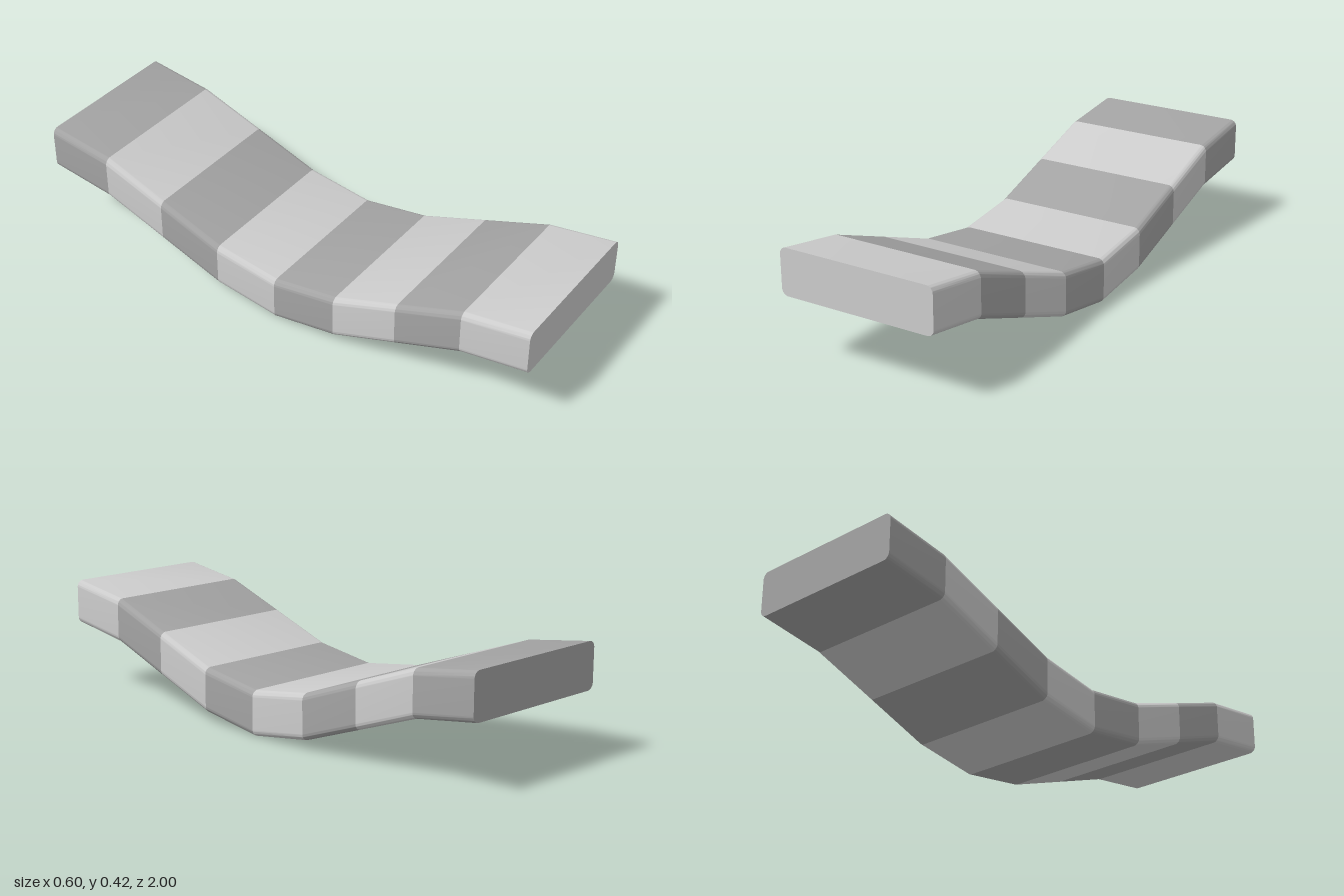
import * as THREE from 'three';
import { toCreasedNormals } from 'three/addons/utils/BufferGeometryUtils.js';

const WIDTH = 0.6, HEIGHT = 0.167, RADIUS = 0.025, COUNT = 8;

// Underside height of the wave along the strip
const wave = (z) => 0.125 * (1 - Math.cos(Math.PI * z));

// Rounded rectangle cross-section standing on y = 0
function crossSection() {
  const w = WIDTH / 2 - RADIUS, top = HEIGHT - RADIUS, q = Math.PI / 2;
  const shape = new THREE.Shape();
  shape.absarc(w, RADIUS, RADIUS, -q, 0);
  shape.absarc(w, top, RADIUS, 0, q);
  shape.absarc(-w, top, RADIUS, q, 2 * q);
  shape.absarc(-w, RADIUS, RADIUS, 2 * q, 3 * q);
  shape.closePath();
  return shape;
}

// One straight segment, sheared vertically so its ends follow the wave
function segmentGeometry(shape, z0, z1) {
  const geo = new THREE.ExtrudeGeometry(shape, { depth: z1 - z0, bevelEnabled: false, curveSegments: 8 });
  geo.translate(0, 0, z0);
  const pos = geo.attributes.position;
  for (let i = 0; i < pos.count; i++) {
    const t = (pos.getZ(i) - z0) / (z1 - z0);
    pos.setY(i, pos.getY(i) + THREE.MathUtils.lerp(wave(z0), wave(z1), t));
  }
  return toCreasedNormals(geo, 0.6);
}

export function createModel() {
  const model = new THREE.Group();
  model.name = 'wavyStrip';
  const light = new THREE.MeshStandardMaterial({ color: 0xcccccc });
  const dark = new THREE.MeshStandardMaterial({ color: 0xa3a3a3 });
  const shape = crossSection();
  const step = 2 / COUNT;

  // Alternating light and dark segments from front to back
  for (let i = 0; i < COUNT; i++) {
    const front = 1 - i * step;
    const mesh = new THREE.Mesh(segmentGeometry(shape, front - step, front), i % 2 ? dark : light);
    mesh.name = `segment${i + 1}`;
    model.add(mesh);
  }
  return model;
}
